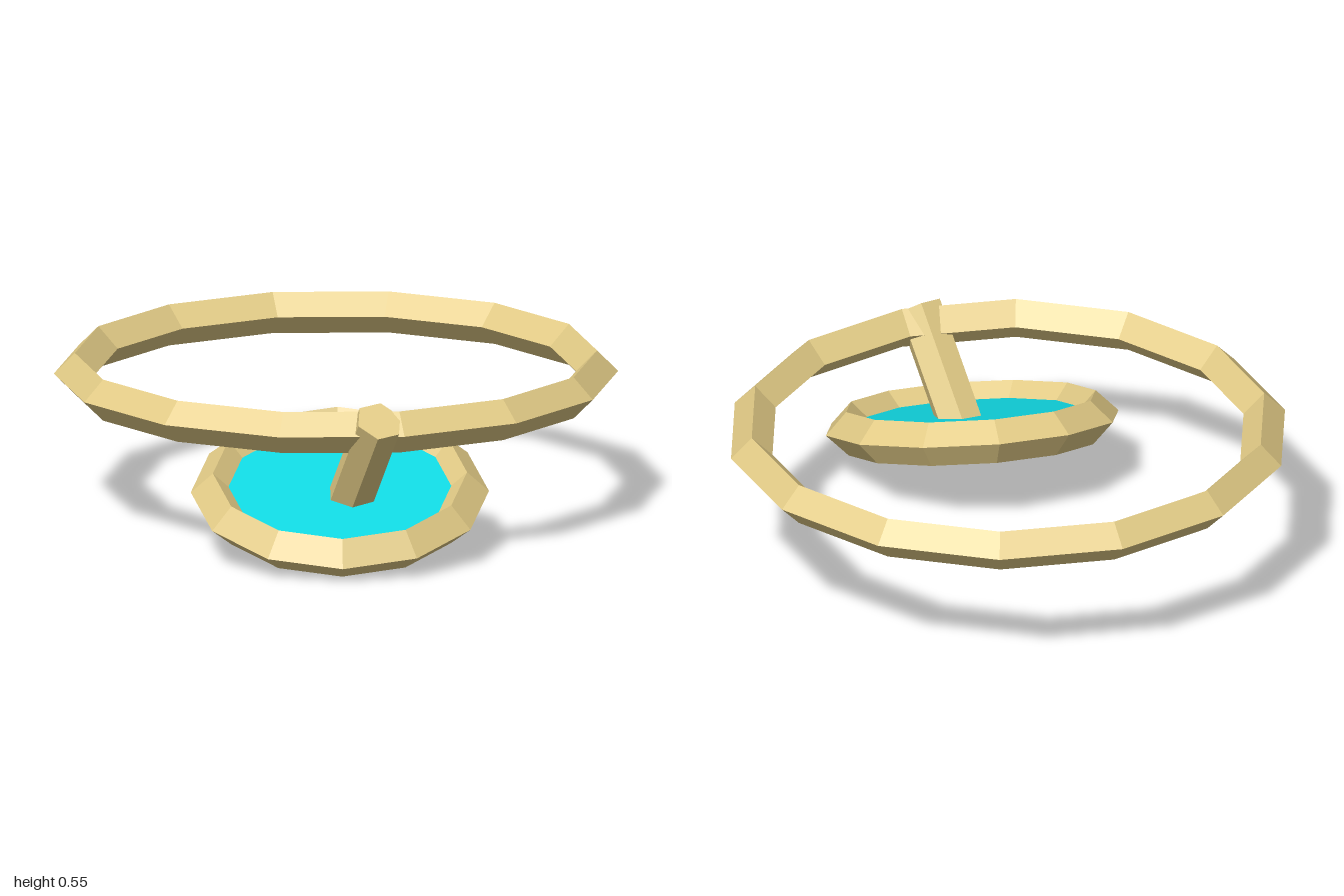
import * as THREE from 'three';

const gold = new THREE.MeshStandardMaterial({ color: 0xe2cb86, flatShading: true });
const teal = new THREE.MeshStandardMaterial({ color: 0x10d8e2, flatShading: true });

function part(name, geometry, material) {
  const mesh = new THREE.Mesh(geometry, material);
  mesh.name = name;
  return mesh;
}

// Ring lying flat, with a diamond cross-section
function flatRing(name, radius, tube, sides) {
  const geometry = new THREE.TorusGeometry(radius, tube, 4, sides);
  geometry.rotateX(Math.PI / 2);
  return part(name, geometry, gold);
}

// Six-sided rod between two points
function rod(name, from, to, radius) {
  const dir = to.clone().sub(from);
  const mesh = part(name, new THREE.CylinderGeometry(radius, radius, dir.length(), 6), gold);
  mesh.position.copy(from).add(to).multiplyScalar(0.5);
  mesh.quaternion.setFromUnitVectors(new THREE.Vector3(0, 1, 0), dir.normalize());
  return mesh;
}

export function createModel() {
  const model = new THREE.Group();
  model.name = 'ringWithPendant';

  // Large horizontal loop
  const loop = flatRing('largeRing', 0.865, 0.07, 14);
  loop.position.set(0, 0.46, -0.085);
  model.add(loop);

  // Tilted pendant: framed disc
  const pendant = new THREE.Group();
  pendant.name = 'pendant';
  pendant.add(flatRing('pendantFrame', 0.421, 0.073, 12));
  pendant.add(part('pendantDisc', new THREE.CylinderGeometry(0.39, 0.39, 0.042, 12), teal));
  pendant.position.set(0, 0.202, 0.529);
  pendant.rotation.x = 0.309;
  model.add(pendant);

  // Slanted pin joining the loop to the disc
  model.add(rod('connectingPin',
    new THREE.Vector3(0.01, 0.105, 0.51),
    new THREE.Vector3(0.125, 0.508, 0.805), 0.08));

  return model;
}
